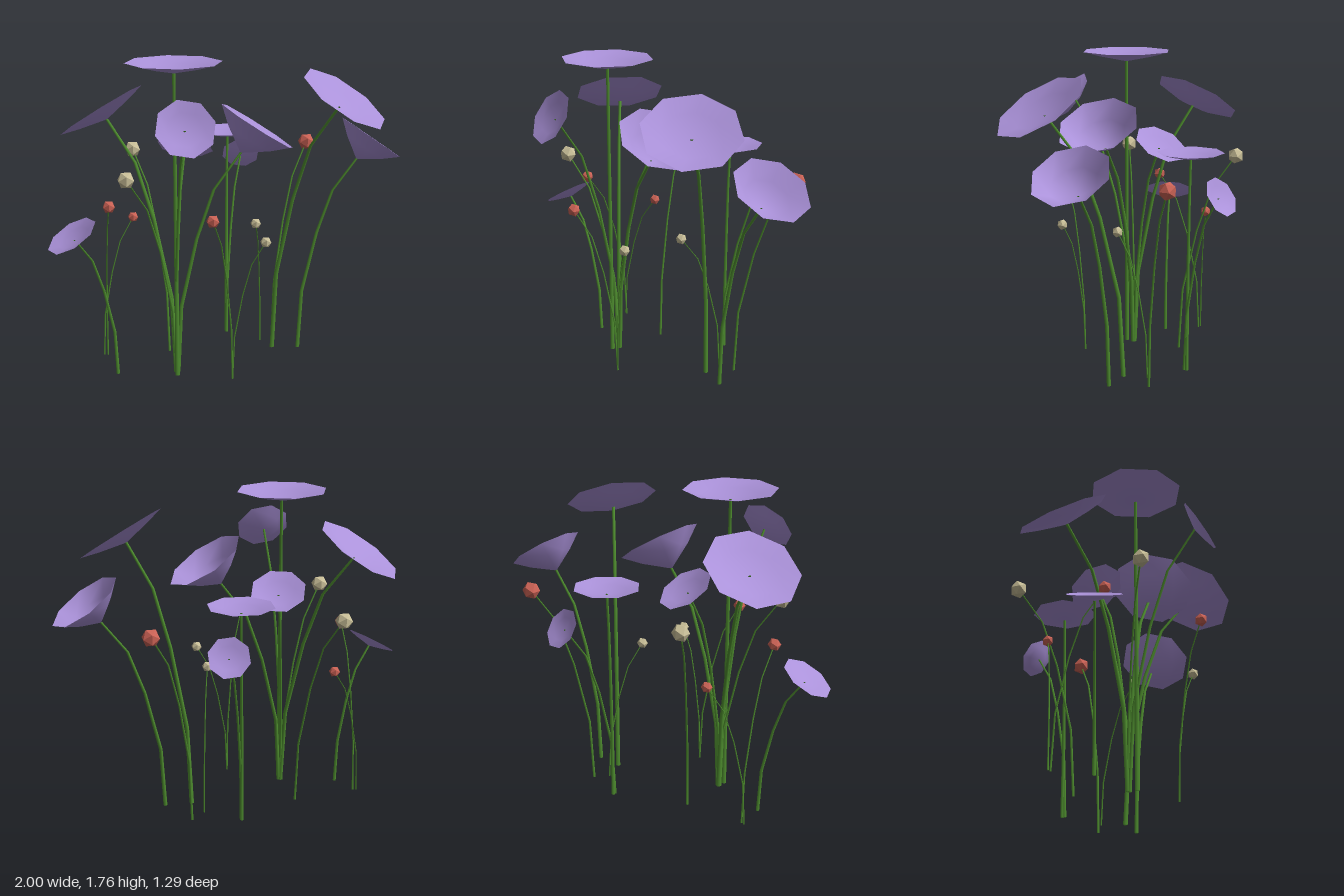
import * as THREE from 'three';
import { mergeVertices } from 'three/addons/utils/BufferGeometryUtils.js';

const material = (name, color, side = THREE.FrontSide) => {
  const m = new THREE.MeshStandardMaterial({ color, side });
  m.name = name;
  return m;
};

// Stem bend: [fraction of height, fraction of sideways reach]
const BEND = [[0, 0], [0.31, 0.06], [0.62, 0.31], [0.84, 0.58], [1, 1]];

export function createModel() {
  const group = new THREE.Group();
  const purple = material('petal purple', 0xab92da, THREE.DoubleSide);
  const green = material('stem green', 0x4f8f2f);
  const red = material('bud red', 0xcb6255);
  const cream = material('bud cream', 0xc9bf98);
  for (const m of [red, cream]) m.flatShading = true;

  const add = (geometry, mat, name) => {
    const mesh = new THREE.Mesh(geometry, mat);
    mesh.name = name;
    group.add(mesh);
    return mesh;
  };

  // Tapered five-sided stem swept through straight segments
  function stem(base, tip, radius) {
    const sides = 5, position = [], index = [];
    BEND.forEach(([h, s], i) => {
      const x = base[0] + (tip[0] - base[0]) * s;
      const y = base[1] + (tip[1] - base[1]) * h;
      const z = base[2] + (tip[2] - base[2]) * s;
      const r = radius * (1 - 0.35 * h);
      for (let k = 0; k < sides; k++) {
        const a = (k / sides) * Math.PI * 2;
        position.push(x + r * Math.sin(a), y, z + r * Math.cos(a));
        if (i === 0) continue;
        const n = (k + 1) % sides, lo = (i - 1) * sides, hi = i * sides;
        index.push(lo + k, lo + n, hi + n, lo + k, hi + n, hi + k);
      }
    });
    // End caps
    const top = (BEND.length - 1) * sides;
    for (let k = 1; k < sides - 1; k++) {
      index.push(0, k + 1, k, top, top + k, top + k + 1);
    }
    const g = new THREE.BufferGeometry();
    g.setAttribute('position', new THREE.Float32BufferAttribute(position, 3));
    g.setIndex(index);
    g.computeVertexNormals();
    add(g, green, 'stem');
  }

  // Open eight-sided bloom whose rim is centred on `centre` and faces `normal`
  function bloom({ centre, normal, radius, depth = radius * 0.23, base, turn = 0 }) {
    const n = new THREE.Vector3(...normal).normalize();
    const c = new THREE.Vector3(...centre);
    const profile = [[0, -depth], [radius * 0.6, -depth * 0.46], [radius, 0]];
    let g = new THREE.LatheGeometry(profile.map(p => new THREE.Vector2(...p)), 8);
    g.deleteAttribute('uv');
    g.deleteAttribute('normal');
    g = mergeVertices(g, 1e-5);
    g.computeVertexNormals();
    g.rotateY(turn);
    const mesh = add(g, purple, 'bloom');
    mesh.position.copy(c);
    mesh.quaternion.setFromUnitVectors(new THREE.Vector3(0, 1, 0), n);
    const tip = c.addScaledVector(n, -depth + 0.003).toArray();
    stem(base, tip, 0.005 + radius * 0.033);
  }

  function bud(mat, tip, radius, base) {
    const mesh = add(new THREE.IcosahedronGeometry(radius, 0), mat, 'bud');
    mesh.position.set(...tip);
    stem(base, tip, radius * 0.15);
  }

  // Blooms
  [
    { centre: [-0.32, 1.757, 0.2], normal: [0, 1, 0], radius: 0.257, base: [-0.32, 0.015, 0.2] },
    { centre: [-0.68, 1.465, -0.09], normal: [-0.49, 0.84, -0.24], radius: 0.257, base: [-0.32, 0.015, 0.15] },
    { centre: [-0.312, 1.48, 0.562], normal: [0, 0.5, 0.86], radius: 0.156, base: [-0.32, 0.015, 0.16], turn: 0.2 },
    { centre: [-0.228, 1.253, -0.06], normal: [0.2, 0.83, -0.5], radius: 0.156, base: [-0.32, 0.015, 0.15] },
    { centre: [0.133, 1.397, 0.155], normal: [0.54, 0.84, 0], radius: 0.231, depth: 0.17, base: [-0.31, 0.015, 0.155] },
    { centre: [0.06, 1.276, -0.36], normal: [0, 1, 0], radius: 0.182, base: [0.05, 0.04, -0.345], turn: 0.3 },
    { centre: [0.58, 1.55, 0.26], normal: [0.47, 0.84, 0.29], radius: 0.26, base: [0.27, 0.035, -0.06] },
    { centre: [0.83, 1.267, -0.048], normal: [0.57, 0.82, 0], radius: 0.21, depth: 0.148, base: [0.42, 0.03, -0.045] },
    { centre: [0.18, 1.08, -0.583], normal: [0.19, 0.54, -0.82], radius: 0.112, base: [0.05, 0.04, -0.33], turn: 0.3 },
    { centre: [-0.872, 0.842, 0.165], normal: [-0.5, 0.85, 0.17], radius: 0.147, base: [-0.64, 0, 0.087] },
  ].forEach(bloom);

  // Buds
  bud(cream, [-0.59, 1.17, 0.313], 0.048, [-0.32, 0.02, 0.15]);
  bud(cream, [-0.485, 1.17, -0.415], 0.048, [-0.32, 0.02, -0.14]);
  bud(red, [0.55, 1.17, -0.44], 0.05, [0.305, 0.015, -0.23]);
  bud(red, [-0.67, 0.985, 0.145], 0.036, [-0.68, 0.03, -0.12]);
  bud(red, [-0.17, 0.985, 0.515], 0.036, [-0.035, 0.03, 0.335]);
  bud(red, [-0.508, 0.818, -0.225], 0.031, [-0.7, 0.03, -0.125]);
  bud(cream, [0.135, 0.818, 0.383], 0.031, [-0.035, 0.03, 0.335]);
  bud(cream, [0.152, 0.818, 0.03], 0.031, [0.225, 0.03, -0.185]);

  return group;
}
